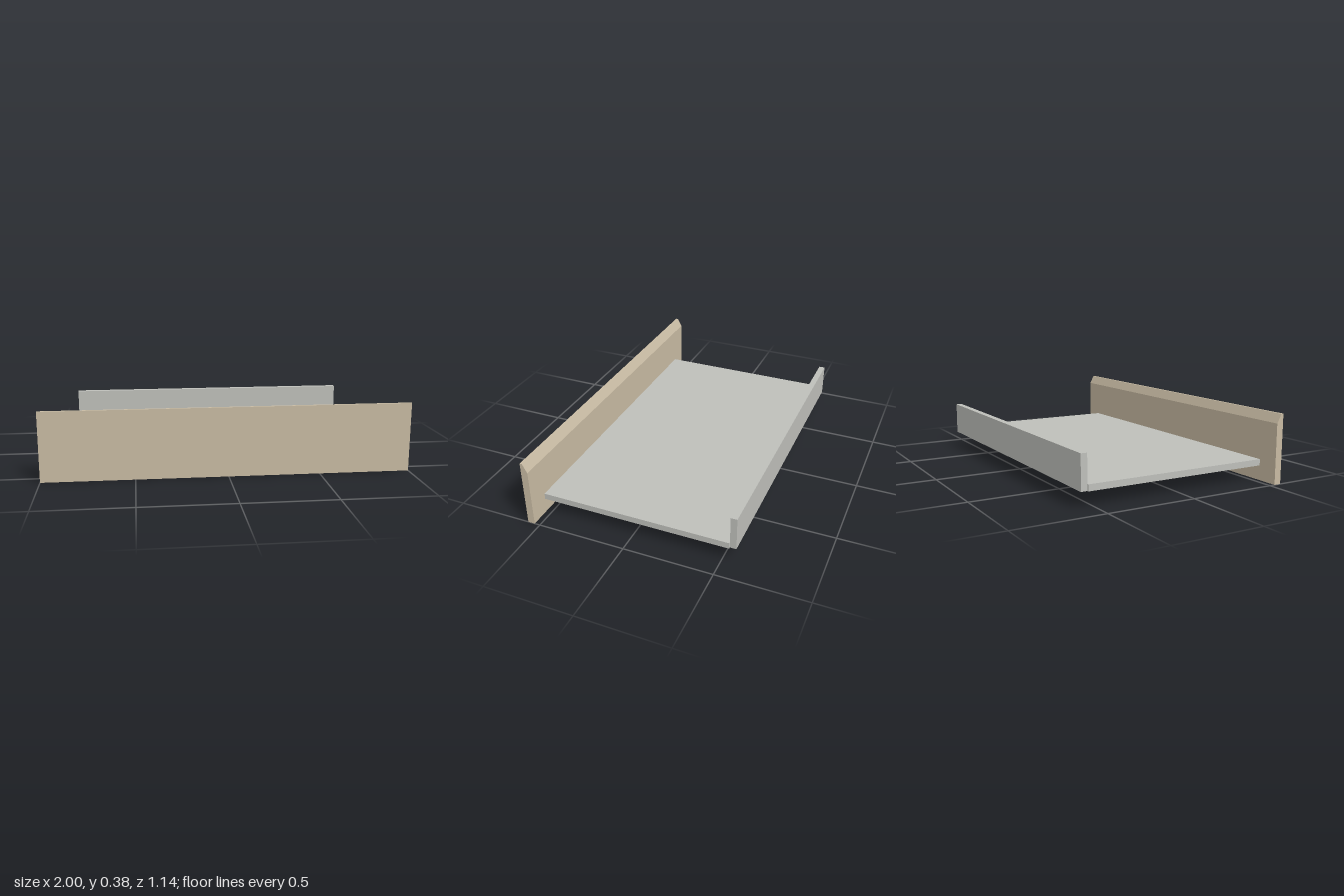
import * as THREE from 'three';

export function createModel() {
  const group = new THREE.Group();
  const wood = new THREE.MeshStandardMaterial({ color: 0xc8bba3 });
  wood.name = 'beige wood';
  const grey = new THREE.MeshStandardMaterial({ color: 0xbebfba });
  grey.name = 'light grey';

  const add = (name, geometry, material) => {
    const mesh = new THREE.Mesh(geometry, material);
    mesh.name = name;
    group.add(mesh);
  };

  // Box given by its half width and its y and z ranges
  const board = (halfWidth, y0, y1, z0, z1) =>
    new THREE.BoxGeometry(2 * halfWidth, y1 - y0, z1 - z0)
      .translate(0, (y0 + y1) / 2, (z0 + z1) / 2);

  // Drawer front: (z, y) profile with a bevelled finger grip at the back of the top edge
  const profile = new THREE.Shape([
    [0.532, 0], [0.572, 0], [0.572, 0.382], [0.558, 0.382], [0.532, 0.332],
  ].map(([z, y]) => new THREE.Vector2(z, y)));
  const front = new THREE.ExtrudeGeometry(profile, { depth: 2, bevelEnabled: false })
    .translate(0, 0, -1)
    .rotateY(-Math.PI / 2);
  add('drawerFront', front, wood);

  // Drawer bottom and the slightly narrower back panel
  add('drawerBottom', board(0.88, 0.082, 0.117, -0.537, 0.532), grey);
  add('backPanel', board(0.87, 0.082, 0.269, -0.572, -0.537), grey);

  return group;
}
